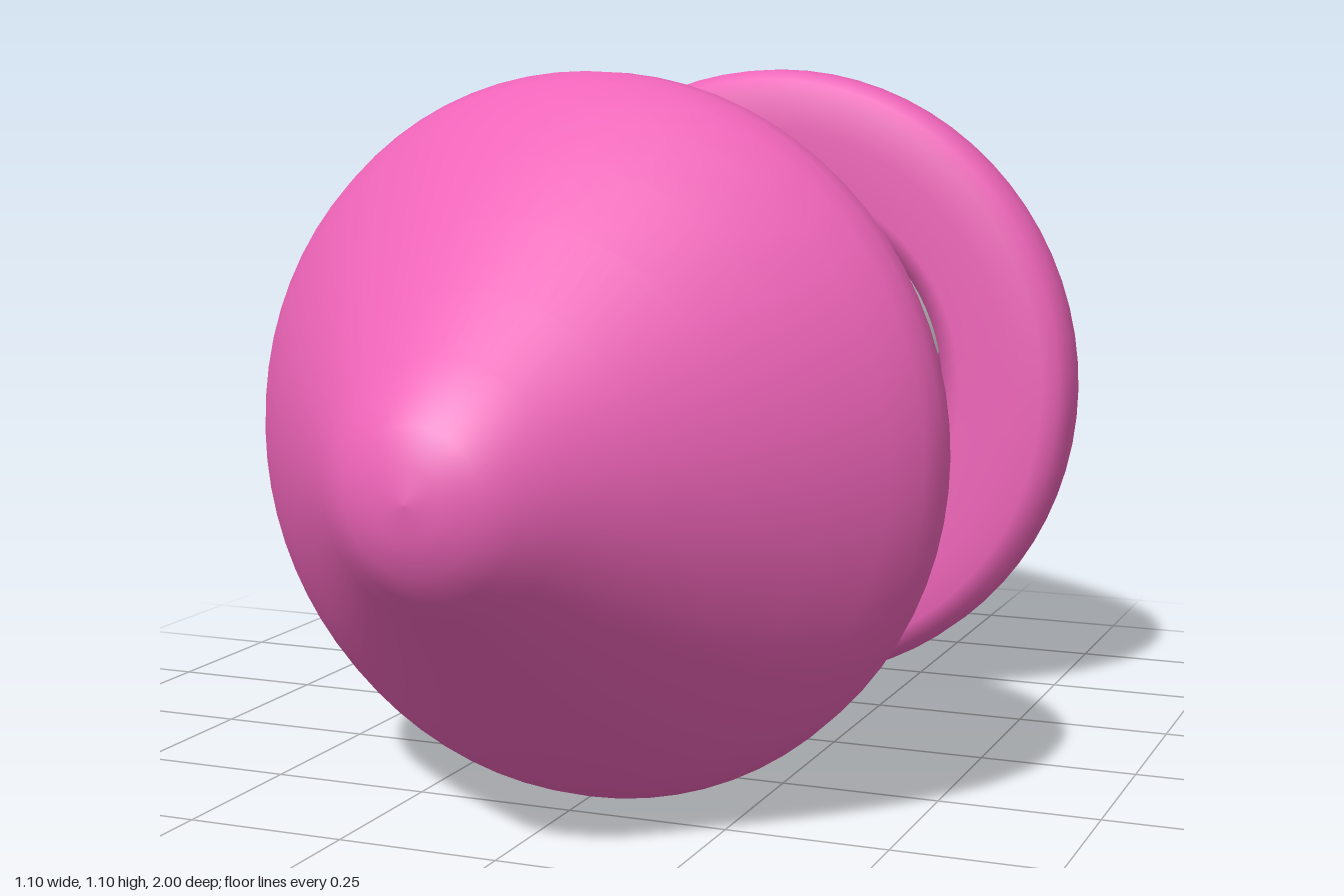
import * as THREE from 'three';

const PINK = new THREE.MeshStandardMaterial({ color: 0xee64b8 });
const GREY = new THREE.MeshStandardMaterial({ color: 0xcccccc });
const CENTRE_Y = 0.55;
const SHAFT_R = 0.328;
const TWIST = THREE.MathUtils.degToRad(52) / 0.67; // radians per unit length

// Cap profile: radius, distance along the axis (underside, rim, cone, tip)
const capProfile = [
  [0.322, 0.4], [0.327, 0.342], [0.36, 0.335], [0.45, 0.335], [0.505, 0.338], [0.533, 0.35],
  [0.548, 0.38], [0.549, 0.425], [0.535, 0.463], [0.5, 0.52], [0.43, 0.61],
  [0.35, 0.706], [0.26, 0.808], [0.18, 0.9], [0.14, 0.944], [0.1, 0.976],
  [0.05, 0.994], [0, 1],
].map(([r, h]) => new THREE.Vector2(r, h));

// One helical strip of the shaft: a cylinder sector twisted along its length
function stripeGeometry(start, sweep) {
  const geo = new THREE.CylinderGeometry(SHAFT_R, SHAFT_R, 0.76, 10, 24, true, start + Math.PI / 2, sweep);
  geo.rotateX(Math.PI / 2);
  const pos = geo.attributes.position;
  const normal = geo.attributes.normal;
  for (let i = 0; i < pos.count; i++) {
    const angle = Math.atan2(pos.getY(i), pos.getX(i)) - pos.getZ(i) * TWIST;
    const c = Math.cos(angle), s = Math.sin(angle);
    pos.setXY(i, SHAFT_R * c, SHAFT_R * s);
    normal.setXYZ(i, c, s, 0);
  }
  return geo;
}

export function createModel() {
  const model = new THREE.Group();
  model.name = 'mushroomDumbbell';

  // Two matching domed caps, front and back
  const capGeo = new THREE.LatheGeometry(capProfile, 72);
  capGeo.rotateX(Math.PI / 2);
  for (const [name, turn] of [['frontCap', 0], ['backCap', Math.PI]]) {
    const cap = new THREE.Mesh(capGeo, PINK);
    cap.name = name;
    cap.position.y = CENTRE_Y;
    cap.rotation.y = turn;
    model.add(cap);
  }

  // Striped shaft: eight alternating helical bands
  const shaft = new THREE.Group();
  shaft.name = 'shaft';
  shaft.position.y = CENTRE_Y;
  const sweep = Math.PI / 4;
  const first = THREE.MathUtils.degToRad(-15);
  for (let i = 0; i < 8; i++) {
    const stripe = new THREE.Mesh(stripeGeometry(first + i * sweep, sweep), i % 2 ? PINK : GREY);
    stripe.name = i % 2 ? 'pinkStripe' : 'greyStripe';
    shaft.add(stripe);
  }
  model.add(shaft);

  return model;
}
